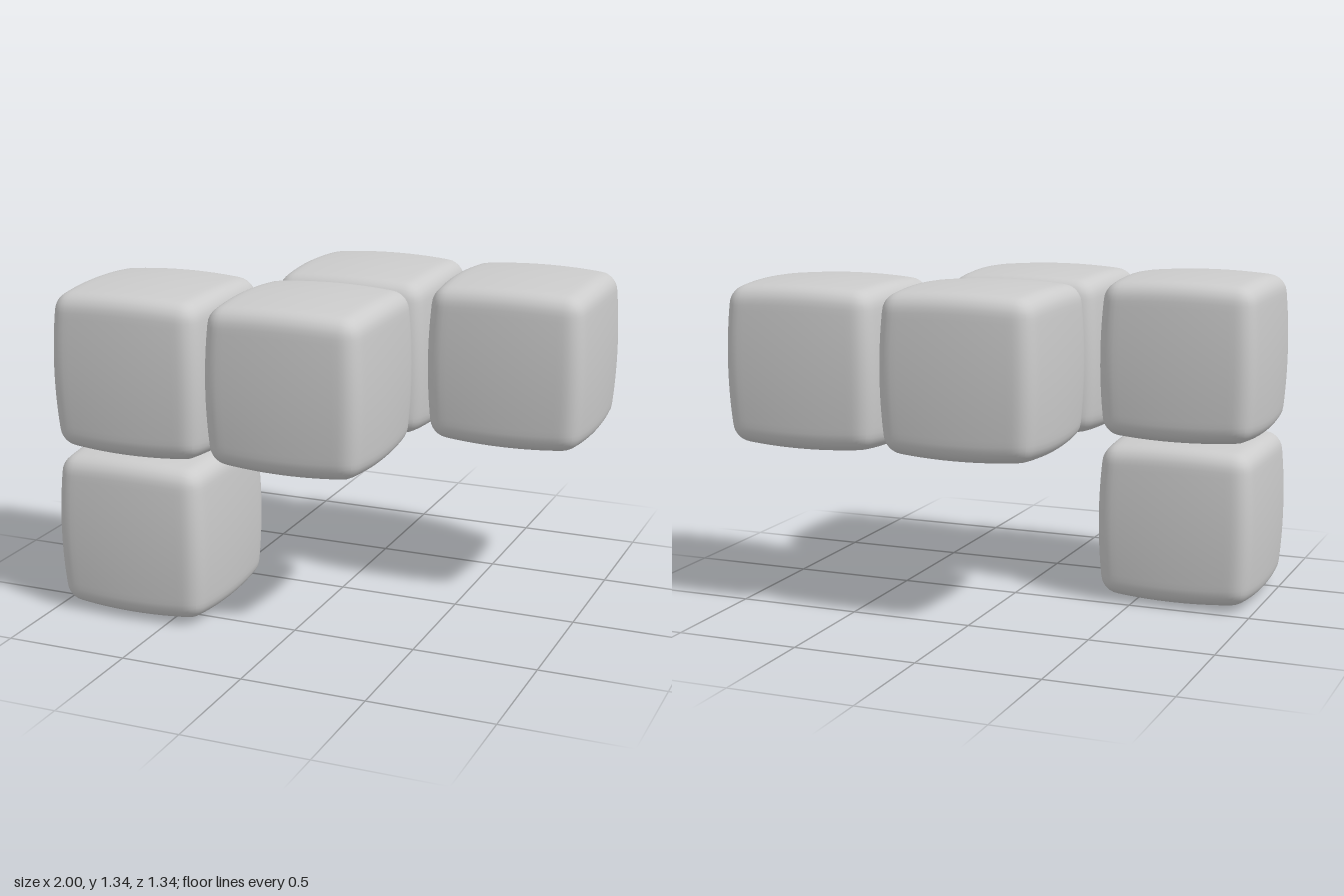
import * as THREE from 'three';
import { mergeVertices } from 'three/addons/utils/BufferGeometryUtils.js';

const HALF = 0.335;   // half the size of one cube
const PITCH = 0.665;  // distance between cube centres
const ROUND = 0.2;    // edge radius, relative to HALF
const BULGE = 0.05;   // how far the faces swell towards their middle

// Cube with rounded edges and slightly pillowed faces
function pillowCube() {
  const box = new THREE.BoxGeometry(2, 2, 2, 28, 28, 28);
  box.deleteAttribute('uv');
  box.deleteAttribute('normal');
  const geometry = mergeVertices(box);
  const pos = geometry.attributes.position;
  const p = new THREE.Vector3();
  const core = new THREE.Vector3();
  const limit = 1 - ROUND;
  for (let i = 0; i < pos.count; i++) {
    p.fromBufferAttribute(pos, i);
    // crowd the grid lines towards the edges
    p.set(...p.toArray().map((c) => Math.sin(c * Math.PI / 2)));
    // round the edges and corners
    core.copy(p).clampScalar(-limit, limit);
    p.sub(core).setLength(ROUND).add(core);
    // swell the faces
    const x2 = p.x * p.x, y2 = p.y * p.y, z2 = p.z * p.z;
    p.x *= 1 - BULGE * (y2 + z2);
    p.y *= 1 - BULGE * (x2 + z2);
    p.z *= 1 - BULGE * (x2 + y2);
    p.multiplyScalar(HALF);
    pos.setXYZ(i, p.x, p.y, p.z);
  }
  geometry.computeVertexNormals();
  return geometry;
}

export function createModel() {
  const group = new THREE.Group();
  group.name = 'cubePuzzlePiece';
  const geometry = pillowCube();
  const material = new THREE.MeshStandardMaterial({ color: 0xcccccc });

  // cube positions in grid steps: x, y, z
  const cells = {
    lowerRightCube: [-1, 0, 0.5],
    upperRightCube: [-1, 1, 0.5],
    middleFrontCube: [0, 1, 0.5],
    middleBackCube: [0, 1, -0.5],
    leftBackCube: [1, 1, -0.5],
  };
  for (const [name, [x, y, z]] of Object.entries(cells)) {
    const cube = new THREE.Mesh(geometry, material);
    cube.name = name;
    cube.position.set(x * PITCH, HALF + y * PITCH, z * PITCH);
    group.add(cube);
  }
  return group;
}
